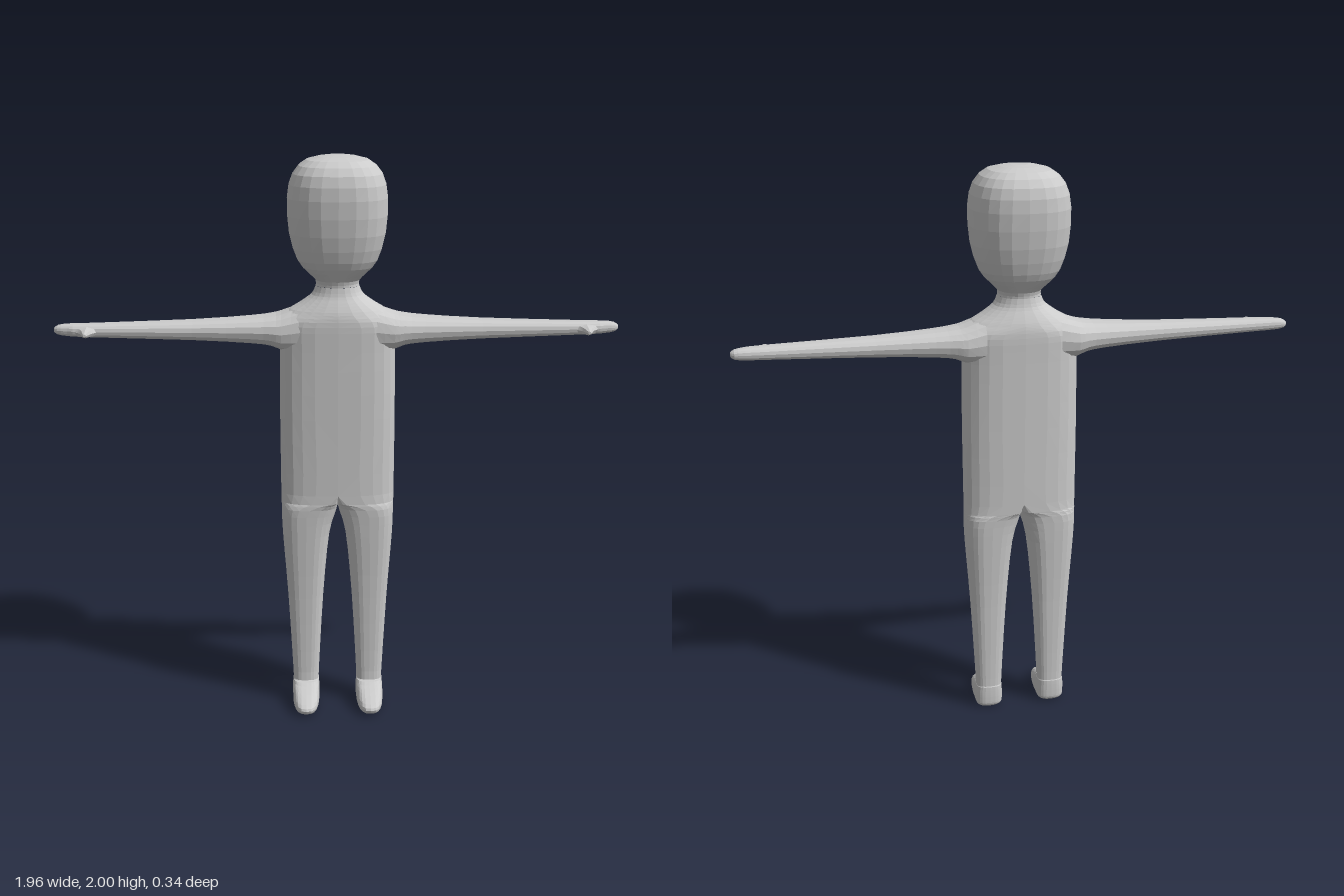
import * as THREE from 'three';

const material = new THREE.MeshStandardMaterial({ color: 0xcccccc, flatShading: true });

// Smooth curve through the rows of a profile, with in-between rows added
function refine(rows, sub) {
  const out = [];
  const at = i => rows[Math.min(rows.length - 1, Math.max(0, i))];
  for (let i = 0; i < rows.length - 1; i++) {
    for (let k = 0; k < sub; k++) {
      const f = k / sub;
      out.push(at(i).map((b, c) => {
        const a = at(i - 1)[c], d = at(i + 1)[c], e = at(i + 2)[c];
        return b + 0.5 * f * (d - a + f * (2 * a - 5 * b + 4 * d - e + f * (3 * (b - d) + e - a)));
      }));
    }
  }
  out.push(rows[rows.length - 1]);
  return out;
}

// Signed power of a sine or cosine, for rounded-square rings
const rounded = (value, n) => (Math.abs(value) < 1e-6 ? 0 : Math.sign(value) * Math.abs(value) ** (2 / n));

// Skin over rounded-square rings. Row: [t, uMin, uMid, uMax, vMin, vMid, vMax, roundness]
// place(t, u, v) gives the point; mirror flips it to the other side.
function loft(name, rows, place, { sides, sub = 2, capLow = false, capHigh = false, mirror = false }) {
  const pos = [], index = [], rings = refine(rows, sub);
  const add = (t, u, v) => {
    const [x, y, z] = place(t, u, v);
    pos.push(mirror ? -x : x, y, z);
  };
  const tri = (a, b, c) => (mirror ? index.push(a, c, b) : index.push(a, b, c));
  for (const [t, u0, uc, u1, v0, vc, v1, n] of rings) {
    for (let j = 0; j < sides; j++) {
      const angle = (j / sides) * Math.PI * 2;
      const c = rounded(Math.cos(angle), n), s = rounded(Math.sin(angle), n);
      add(t, uc + c * (c > 0 ? u1 - uc : uc - u0), vc + s * (s > 0 ? v1 - vc : vc - v0));
    }
  }
  for (let i = 0; i < rings.length - 1; i++) {
    for (let j = 0; j < sides; j++) {
      const a = i * sides + j, b = i * sides + (j + 1) % sides, c = a + sides, d = b + sides;
      // no wall on the body's middle plane
      if ([a, b, c, d].every(k => Math.abs(pos[k * 3]) < 1e-6)) continue;
      tri(a, c, b);
      tri(b, c, d);
    }
  }
  const cap = (row, first, high) => {
    const centre = pos.length / 3;
    add(row[0], (row[1] + row[3]) / 2, (row[4] + row[6]) / 2);
    for (let j = 0; j < sides; j++) {
      const a = first + j, b = first + (j + 1) % sides;
      if (high) tri(centre, b, a);
      else tri(centre, a, b);
    }
  };
  if (capLow) cap(rings[0], 0, false);
  if (capHigh) cap(rings[rings.length - 1], (rings.length - 1) * sides, true);
  const geometry = new THREE.BufferGeometry();
  geometry.setAttribute('position', new THREE.Float32BufferAttribute(pos, 3));
  geometry.setIndex(index);
  geometry.computeVertexNormals();
  const mesh = new THREE.Mesh(geometry, material);
  mesh.name = name;
  return mesh;
}

// Head: y, half width, half depth
const head = [
  [1.56, 0.075, 0.073],
  [1.58, 0.076, 0.078],
  [1.61, 0.105, 0.098],
  [1.65, 0.138, 0.12],
  [1.74, 0.165, 0.146],
  [1.86, 0.171, 0.162],
  [1.94, 0.152, 0.153],
  [1.985, 0.105, 0.11],
  [2, 0.03, 0.033],
].map(([y, w, d]) => [y, -w, 0, w, -d - 0.004, 0, d - 0.004, y < 1.6 ? 2.1 : 2.5]);

// Leg and foot: y, inner x, outer x, back, front
const leg = [
  [0, 0.085, 0.15, -0.025, 0.135],
  [0.012, 0.07, 0.164, -0.038, 0.164],
  [0.035, 0.068, 0.166, -0.041, 0.17],
  [0.062, 0.068, 0.166, -0.042, 0.11],
  [0.085, 0.069, 0.164, -0.042, 0.055],
  [0.12, 0.069, 0.164, -0.041, 0.042],
  [0.42, 0.052, 0.18, -0.057, 0.055],
  [0.66, 0.029, 0.197, -0.076, 0.073],
  [0.765, 0, 0.2, -0.084, 0.081],
].map(([y, inner, outer, back, front]) => [y, inner, (inner + outer) / 2, outer, back, 0, front, 2.8]);

// Torso, outer half only: y, half width, half depth
const torso = [
  [0.82, 0.201, 0.086],
  [1.1, 0.202, 0.095],
  [1.34, 0.2, 0.103],
  [1.43, 0.197, 0.106],
  [1.47, 0.178, 0.102],
  [1.5, 0.13, 0.091],
  [1.53, 0.09, 0.078],
  [1.56, 0.075, 0.073],
].map(([y, w, d]) => [y, 0, 0, w, -d - 0.003, 0, d - 0.003, y > 1.46 ? 2.2 : 2.9]);

// Arm and hand: x, middle z, half depth, bottom, top
const arm = [
  [0.13, -0.004, 0.096, 1.33, 1.492],
  [0.195, -0.004, 0.094, 1.338, 1.468],
  [0.23, -0.003, 0.088, 1.352, 1.46],
  [0.3, -0.002, 0.077, 1.361, 1.452],
  [0.5, -0.001, 0.057, 1.372, 1.44],
  [0.85, 0, 0.038, 1.383, 1.43],
  [0.93, -0.005, 0.029, 1.386, 1.428],
  [0.965, -0.008, 0.022, 1.391, 1.423],
  [0.978, -0.007, 0.01, 1.4, 1.414],
].map(([x, z, d, y0, y1]) => [x, z - d, z, z + d, y0, (y0 + y1) / 2, y1, 2.4]);

// Thumb: z, half height, half width
const thumb = [
  [0.022, 0.019, 0.055],
  [0.04, 0.017, 0.032],
  [0.06, 0.014, 0.019],
  [0.08, 0.01, 0.012],
  [0.09, 0.005, 0.005],
].map(([z, h, w]) => [z, 1.405 - h, 1.405, 1.405 + h, 0.861 - w, 0.861, 0.861 + w, 2]);

export function createModel() {
  const group = new THREE.Group();
  group.name = 'figure';
  group.add(loft('head', head, (y, x, z) => [x, y, z], { sides: 24, capHigh: true }));
  for (const mirror of [false, true]) {
    const side = mirror ? 'right' : 'left';
    group.add(
      loft(side + 'BodyAndLeg', [...leg, ...torso], (y, x, z) => [Math.max(0, x), y, z], { sides: 24, sub: 3, capLow: true, mirror }),
      loft(side + 'Arm', arm, (x, z, y) => [x, y, z], { sides: 16, capHigh: true, mirror }),
      loft(side + 'Thumb', thumb, (z, y, x) => [x, y, z], { sides: 8, capHigh: true, mirror }),
    );
  }
  return group;
}
